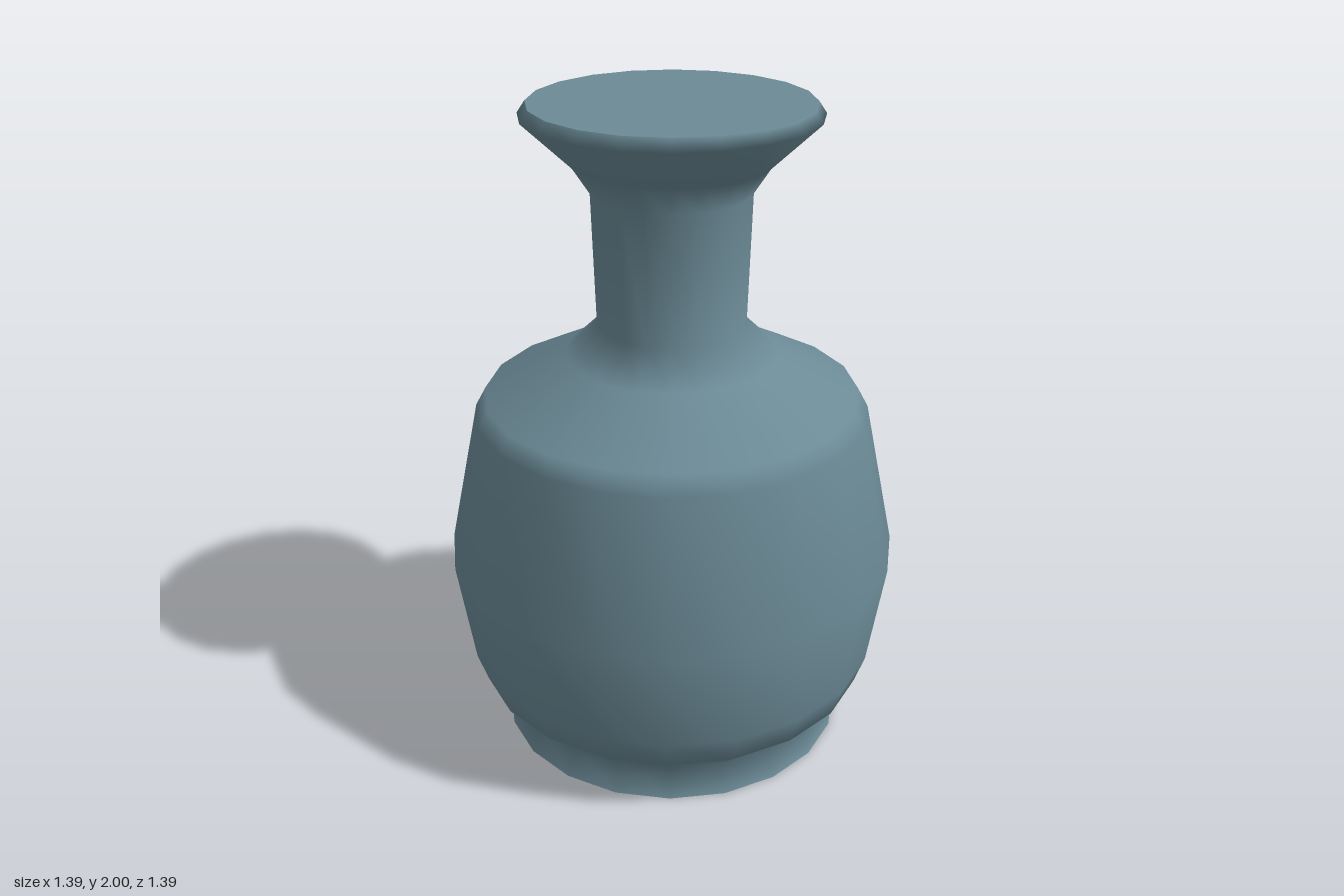
import * as THREE from 'three';

const SIDES = 20;

export function createModel() {
  const vase = new THREE.Group();
  vase.name = 'vase';
  const material = new THREE.MeshStandardMaterial({ color: 0x6b8a96 });

  // Outline from foot to rim: radius, height
  const profile = [
    [0.54, 0], [0.507, 0.09],                               // flared foot
    [0.613, 0.187], [0.645, 0.28], [0.695, 0.61],           // belly
    [0.598, 1.068], [0.567, 1.125], [0.32, 1.25],           // shoulder
    [0.223, 1.343], [0.235, 1.745],                         // neck
    [0.29, 1.83], [0.433, 1.966], [0.41, 2],                // flared rim
  ].map(([r, y]) => new THREE.Vector2(r, y));

  const body = new THREE.Mesh(new THREE.LatheGeometry(profile, SIDES), material);
  body.name = 'body';
  vase.add(body);

  // Flat discs closing the mouth and the foot, corners matched to the body
  const addCap = (name, point, tilt) => {
    const cap = new THREE.Mesh(new THREE.CircleGeometry(point.x, SIDES), material);
    cap.name = name;
    cap.rotation.x = tilt;
    cap.position.y = point.y;
    vase.add(cap);
  };
  addCap('mouthCap', profile[profile.length - 1], -Math.PI / 2);
  addCap('footCap', profile[0], Math.PI / 2);

  return vase;
}
